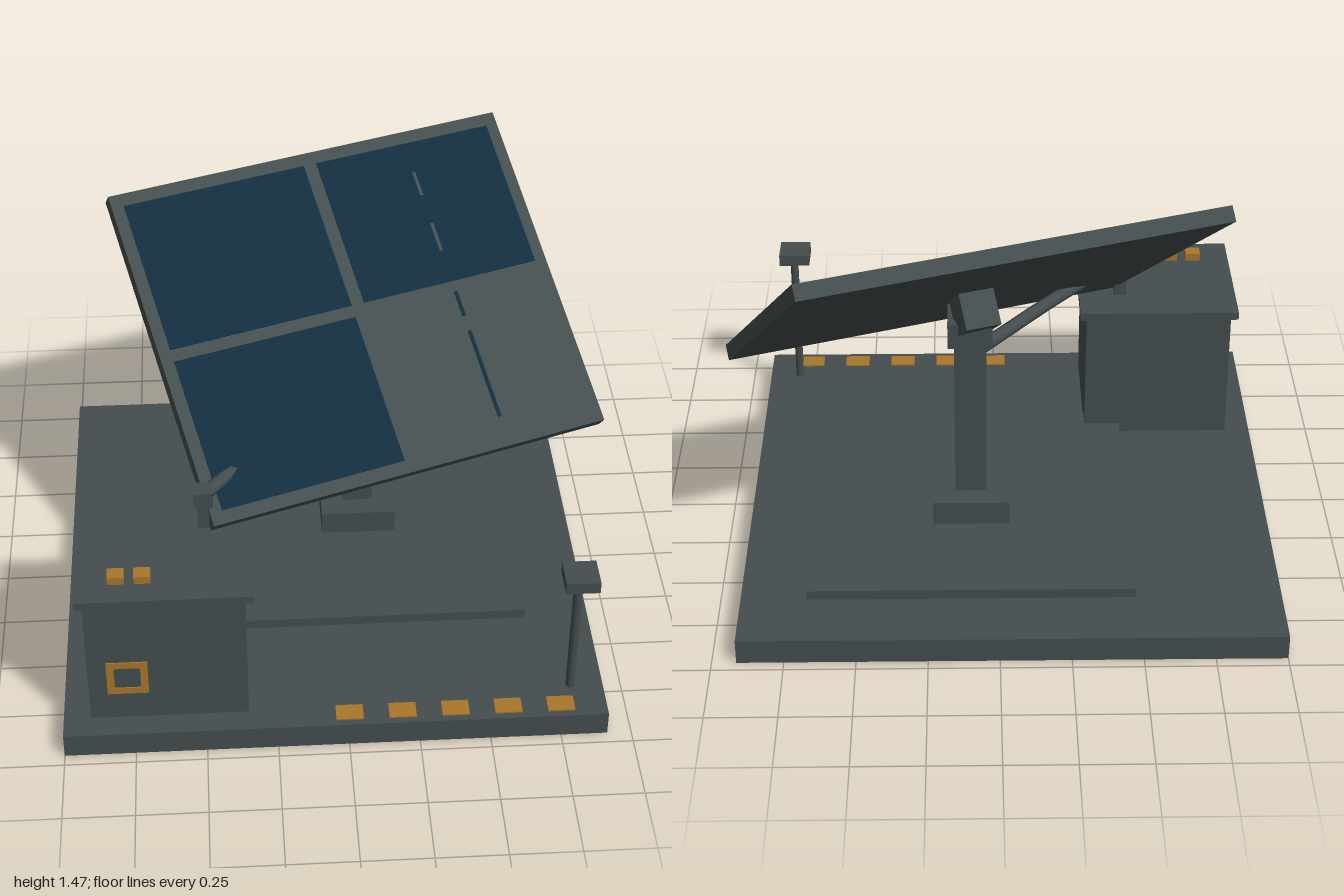
import * as THREE from 'three';

const mat = (name, color) => Object.assign(new THREE.MeshStandardMaterial({ color }), { name });

export function createModel() {
  const grey = mat('slate grey metal', 0x444d4e);
  const blue = mat('solar cell blue', 0x112e3e);
  const amber = mat('amber paint', 0xa9772a);

  const model = new THREE.Group();
  model.name = 'solarStation';

  const add = (name, geometry, material, x, y, z, parent = model) => {
    const mesh = new THREE.Mesh(geometry, material);
    mesh.name = name;
    mesh.position.set(x, y, z);
    parent.add(mesh);
    return mesh;
  };
  // Box standing on y0 and reaching y1
  const block = (name, material, x, z, w, d, y0, y1) =>
    add(name, new THREE.BoxGeometry(w, y1 - y0, d), material, x, (y0 + y1) / 2, z);

  // Ground slab and raised pad
  block('baseSlab', grey, -0.043, -0.003, 1.915, 1.915, 0, 0.093);
  block('raisedPad', grey, 0.0975, -0.145, 1.165, 1.165, 0.093, 0.13);

  // Pole with plinth and head
  const px = 0.0975, pz = -0.185;
  block('polePlinth', grey, px, pz, 0.28, 0.28, 0.13, 0.223);
  block('pole', grey, px, pz, 0.115, 0.115, 0.223, 0.86);
  block('poleHead', grey, px, pz, 0.16, 0.16, 0.845, 0.94);

  // Tilted panel, turned toward the left
  const panel = new THREE.Group();
  panel.name = 'solarPanel';
  panel.position.set(0.099, 1.055, pz - 0.002);
  panel.rotation.set(THREE.MathUtils.degToRad(38), THREE.MathUtils.degToRad(20), 0, 'YXZ');
  model.add(panel);
  const thick = 0.057, face = thick / 2;
  add('panelFrame', new THREE.BoxGeometry(1.54, thick, 1.26), grey, 0, 0, 0, panel);
  add('tiltHub', new THREE.BoxGeometry(0.13, 0.14, 0.13), grey, 0, -0.09, 0, panel);

  // Three fitted cells, with one bay left empty
  for (const [u, v] of [[-1, 1], [1, 1], [-1, -1]]) {
    add('solarCell', new THREE.BoxGeometry(0.7, 0.004, 0.56), blue,
      u * 0.375, face + 0.001, -v * 0.3025, panel);
  }

  // Broken centre line: grey on the cell, blue in the empty bay
  const dashes = [
    [0.466, 0.37, grey], [0.257, 0.144, grey],
    [-0.02, -0.117, blue], [-0.177, -0.516, blue],
  ];
  for (const [v0, v1, material] of dashes) {
    add('panelDash', new THREE.BoxGeometry(0.013, 0.006, v0 - v1), material,
      0.38, face + 0.001, -(v0 + v1) / 2, panel);
  }

  // Equipment cabinet with lid and two buttons
  block('cabinet', grey, -0.6275, 0.61, 0.555, 0.515, 0.093, 0.615);
  block('cabinetLid', grey, -0.6275, 0.602, 0.605, 0.56, 0.615, 0.645);
  for (const x of [-0.789, -0.699]) {
    block('lidButton', amber, x, 0.768, 0.057, 0.052, 0.645, 0.675);
  }

  // Square painted frame on the cabinet front
  const square = (Path, h) => new Path([[-h, -h], [h, -h], [h, h], [-h, h]].map(p => new THREE.Vector2(...p)));
  const ring = square(THREE.Shape, 0.072);
  ring.holes.push(square(THREE.Path, 0.046));
  add('cabinetMark', new THREE.ExtrudeGeometry(ring, { depth: 0.006, bevelEnabled: false }),
    amber, -0.7675, 0.281, 0.866);

  // Short post on the lid and the arm joining it to the pole
  block('lidPost', grey, -0.484, 0.49, 0.045, 0.045, 0.645, 0.745);
  block('lidPostHead', grey, -0.484, 0.49, 0.068, 0.066, 0.743, 0.805);
  const arm = new THREE.CatmullRomCurve3([
    new THREE.Vector3(px - 0.02, 0.775, pz + 0.02),
    new THREE.Vector3(-0.29, 0.79, 0.27),
    new THREE.Vector3(-0.484, 0.775, 0.49),
  ]);
  add('linkArm', new THREE.TubeGeometry(arm, 12, 0.025, 8), grey, 0, 0, 0);

  // Thin sensor post at the front corner
  add('sensorPost', new THREE.CylinderGeometry(0.017, 0.017, 0.53, 6), grey, 0.798, 0.358, 0.8);
  block('sensorCap', grey, 0.797, 0.838, 0.118, 0.117, 0.612, 0.657);

  // Warning dashes along the front edge of the slab
  for (let i = 0; i < 5; i++) {
    block('warningDash', amber, 0.003 + i * 0.187, 0.895, 0.096, 0.07, 0.09, 0.098);
  }

  return model;
}
